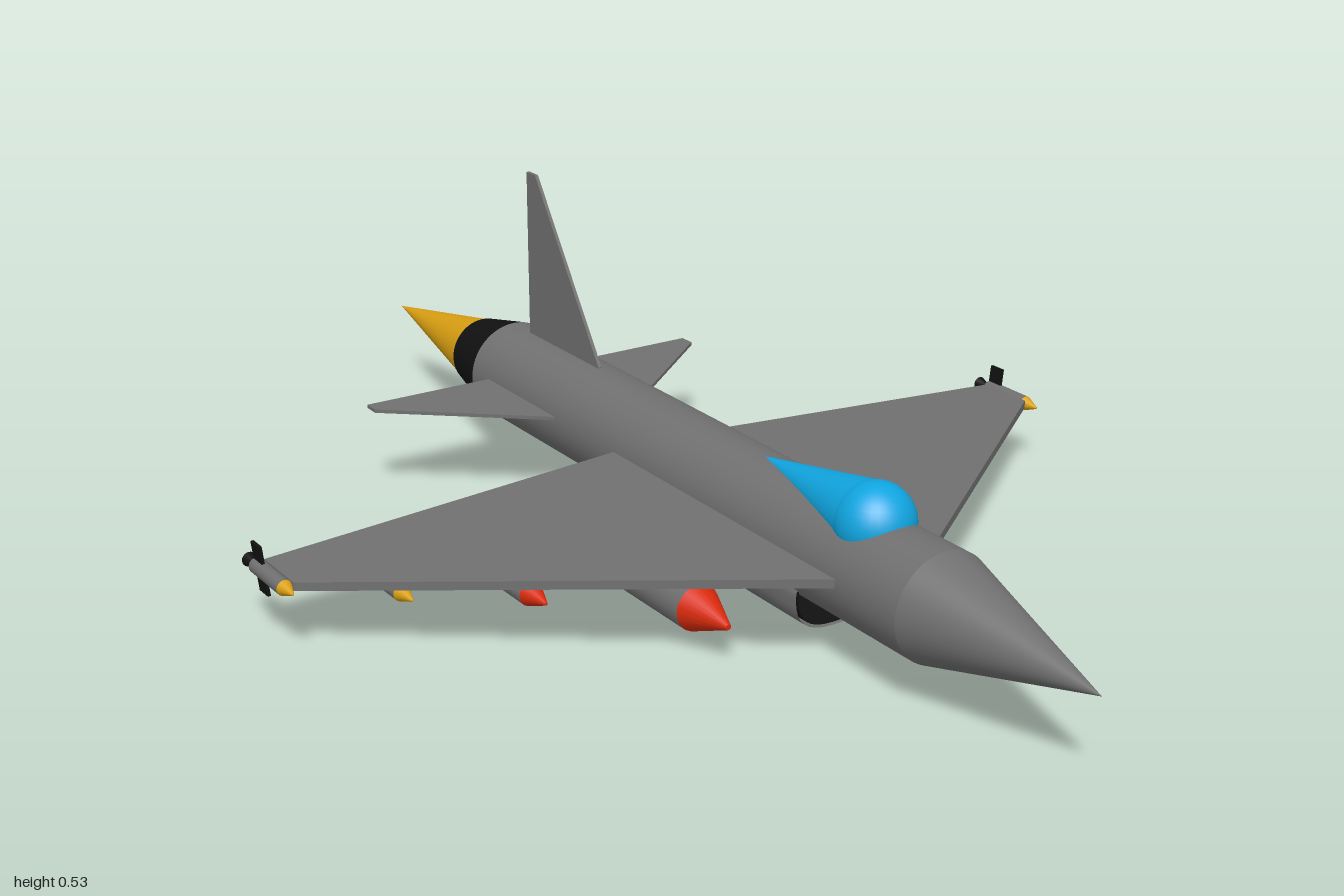
import * as THREE from 'three';

const mat = (name, color, side = THREE.FrontSide) => {
  const m = new THREE.MeshStandardMaterial({ color, side });
  m.name = name;
  return m;
};

export function createModel() {
  const model = new THREE.Group();
  model.name = 'jetFighter';
  const grey = mat('airframe grey', 0x707070, THREE.DoubleSide);
  const black = mat('engine black', 0x111111, THREE.DoubleSide);
  const gold = mat('flame gold', 0xdaa012);
  const red = mat('warhead red', 0xd82a0c);
  const blue = mat('canopy blue', 0x10a5e0);

  const add = (name, geo, material, parent = model) => {
    const mesh = new THREE.Mesh(geo, material);
    mesh.name = name;
    parent.add(mesh);
    return mesh;
  };
  // Round section along z, from a front radius to a back radius
  const tube = (rFront, rBack, zFront, zBack, sides = 32, open = false) =>
    new THREE.CylinderGeometry(rFront, rBack, zFront - zBack, sides, 1, open)
      .rotateX(Math.PI / 2).translate(0, 0, (zFront + zBack) / 2);
  // Thin plate cut from a list of 2D points, centred on its thickness
  const plate = (points, thickness) =>
    new THREE.ExtrudeGeometry(new THREE.Shape(points.map(p => new THREE.Vector2(...p))),
      { depth: thickness, bevelEnabled: false }).translate(0, 0, -thickness / 2);

  // Fuselage, nose, nozzle and exhaust flame
  const axisY = 0.15, R = 0.088;
  const body = new THREE.Group();
  body.name = 'fuselageGroup';
  body.position.y = axisY;
  model.add(body);
  add('fuselage', tube(R, R, 0.67, -0.555, 48), grey, body);
  add('noseCone', tube(0, R, 1, 0.67, 48), grey, body);
  add('nozzle', tube(R, 0.063, -0.555, -0.672, 48), black, body);
  add('exhaustFlame', tube(0.061, 0, -0.672, -1, 48), gold, body);

  // Canopy: rounded front with a long tapering back
  const canopy = new THREE.Group();
  canopy.name = 'canopy';
  canopy.position.set(0, 0.226, 0.508);
  canopy.rotation.x = 0.03;
  model.add(canopy);
  add('canopyFront', new THREE.SphereGeometry(0.063, 32, 20), blue, canopy);
  add('canopyBack', tube(0.063, 0, 0, -0.293), blue, canopy);

  // Belly intake: rounded U section that rises into the fuselage at the back
  const scoop = (zFront, zBack, scale, open) => {
    const geo = new THREE.CylinderGeometry(1, 1, zFront - zBack, 32, 6, open)
      .rotateX(Math.PI / 2).translate(0, 0, (zFront + zBack) / 2);
    const p = geo.attributes.position;
    const round = v => Math.sign(v) * Math.pow(Math.abs(v), 0.75);
    for (let i = 0; i < p.count; i++) {
      const x = p.getX(i), y = p.getY(i), z = p.getZ(i);
      const fade = THREE.MathUtils.clamp((0.13 - z) / 0.18, 0, 1);
      const low = THREE.MathUtils.lerp(0.061, 0.012, fade);
      p.setX(i, round(x) * 0.073 * scale * (1 - 0.3 * fade));
      p.setY(i, 0.085 + round(y) * (y < 0 ? low * scale : 0.03));
    }
    geo.computeVertexNormals();
    return geo;
  };
  add('intake', scoop(0.415, -0.05, 1, true), grey);
  add('intakeDuct', scoop(0.414, 0.3, 0.93, true), black);
  add('intakeBack', scoop(0.305, 0.3, 0.95, false), black);

  // Tail fin
  const fin = plate([[0.26, 0.22], [0.492, 0.22], [0.492, 0.532], [0.463, 0.532], [0.26, 0.24]], 0.006);
  add('tailFin', fin.rotateY(Math.PI / 2), grey);

  const wingY = x => 0.156 - 0.064 * (Math.abs(x) - 0.088);

  // Missile or bomb hung at (x, y): nose, body, fins, nozzle and optional pylon
  const store = (name, s, x, o) => {
    const g = new THREE.Group();
    g.name = name;
    g.position.set(s * x, o.y, 0);
    model.add(g);
    const r = o.r;
    add('storeNose', tube(r * 0.12, r, o.tip, o.front, 20), o.nose, g);
    add('storeBody', tube(r, r, o.front, o.back, 20), grey, g);
    add('storeNozzle', tube(r * 0.3, r * 0.92, o.back, o.tail, 20), black, g);
    for (const a of o.fins) {
      const geo = new THREE.BoxGeometry(o.reach, o.thick, o.chord)
        .translate(o.reach / 2, 0, o.back + o.chord / 2)
        .rotateZ(s * THREE.MathUtils.degToRad(a) + (s < 0 ? Math.PI : 0));
      add('storeFin', geo, o.finMat || grey, g);
    }
    if (o.pylon) {
      const h = wingY(x) - o.y;
      add('pylon', new THREE.BoxGeometry(0.012, h, o.pylon)
        .translate(0, h / 2, o.back + 0.04 + o.pylon / 2), grey, g);
    }
  };

  for (const s of [1, -1]) {
    const side = s > 0 ? 'left' : 'right';
    // Delta wing, drooping toward the tip
    const wing = plate([[0.03, 0.575], [0.71, 0.025], [0.71, -0.078], [0.03, -0.078]]
      .map(([x, z]) => [s * x, z]), 0.014).rotateX(Math.PI / 2);
    const p = wing.attributes.position;
    for (let i = 0; i < p.count; i++) p.setY(i, p.getY(i) + wingY(p.getX(i)));
    wing.computeVertexNormals();
    add(side + 'Wing', wing, grey);

    // Tailplane
    const tail = plate([[0.03, -0.22], [0.325, -0.468], [0.325, -0.497], [0.03, -0.497]]
      .map(([x, z]) => [s * x, z]), 0.006).rotateX(Math.PI / 2).translate(0, 0.162, 0);
    add(side + 'Tailplane', tail, grey);

    // Under-wing stores, from inboard to wing tip
    store(side + 'Bomb', s, 0.193, {
      y: 0.068, r: 0.038, tip: 0.412, front: 0.33, back: -0.1, tail: -0.147, nose: red,
      fins: [45, 135, 225, 315], reach: 0.088, thick: 0.01, chord: 0.065, pylon: 0.24 });
    store(side + 'Missile', s, 0.4, {
      y: 0.09, r: 0.02, tip: 0.235, front: 0.19, back: -0.06, tail: -0.085, nose: red,
      fins: [25, 155, 270], reach: 0.047, thick: 0.006, chord: 0.045, pylon: 0.14 });
    store(side + 'SmallMissile', s, 0.56, {
      y: 0.09, r: 0.014, tip: 0.115, front: 0.08, back: -0.05, tail: -0.075, nose: gold,
      fins: [0, 180], reach: 0.042, thick: 0.005, chord: 0.035, pylon: 0.07 });
    store(side + 'TipMissile', s, 0.72, {
      y: 0.113, r: 0.013, tip: 0.045, front: 0.015, back: -0.085, tail: -0.112, nose: gold,
      fins: [83, 263], reach: 0.042, thick: 0.005, chord: 0.03, finMat: black });
  }
  return model;
}
